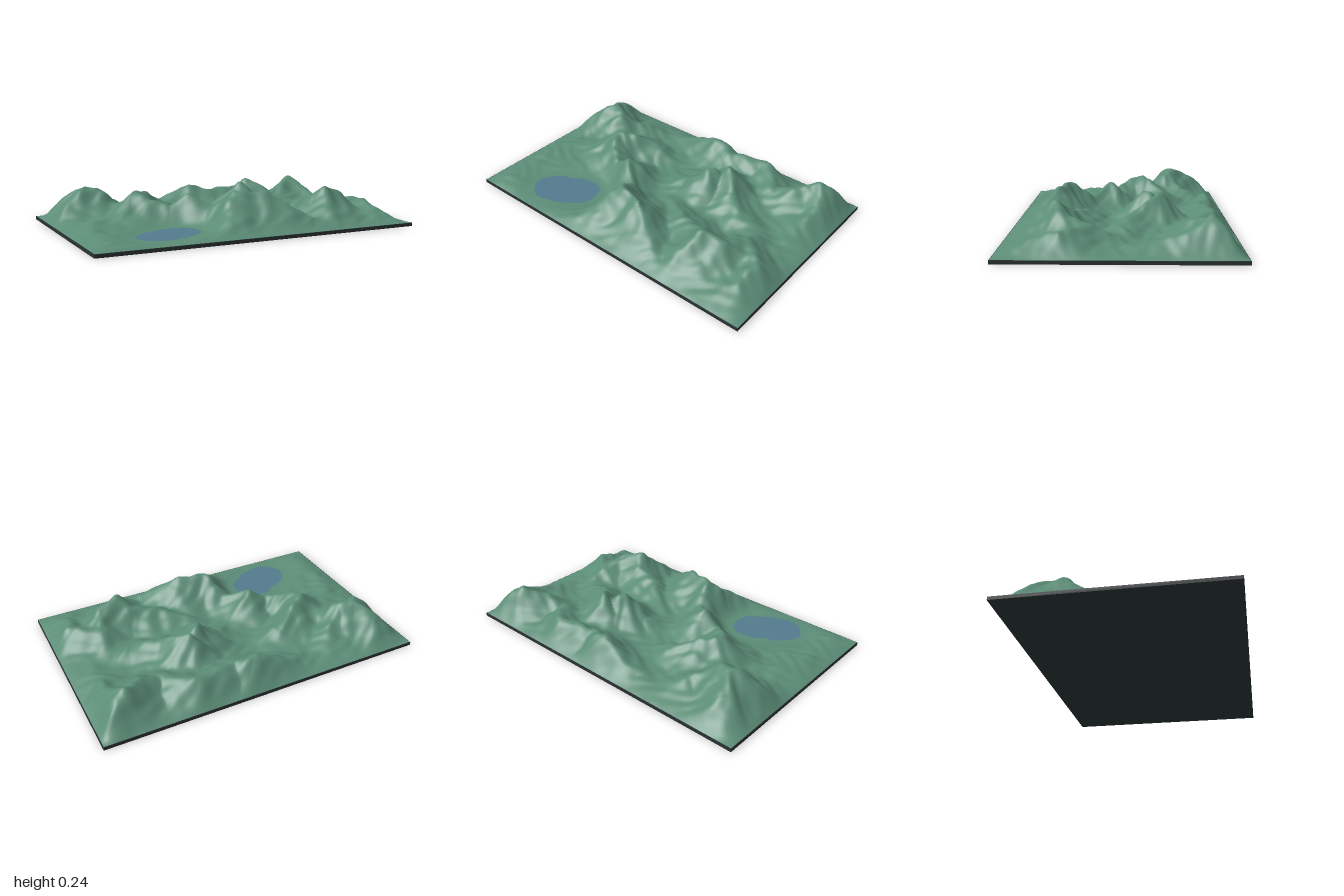
import * as THREE from 'three';

const HALF_X = 1, HALF_Z = 0.645, INSET = 0.003, BASE = 0.02, LAKE_Y = 0.036;
const { lerp, clamp, smoothstep } = THREE.MathUtils;

// Ridge lines as [x, z, crest height]
const RIDGES = [
  // north-west massif and its spur
  [[-0.82, -0.48, 0.165], [-0.77, -0.34, 0.23], [-0.67, -0.3, 0.21], [-0.55, -0.41, 0.12]],
  [[-0.77, -0.34, 0.2], [-0.89, -0.27, 0.16]],
  // long ridge running to the front peak, and its spur
  [[-0.28, -0.25, 0.12], [-0.43, -0.19, 0.195], [-0.52, -0.11, 0.22], [-0.38, 0.07, 0.14], [-0.24, 0.08, 0.205],
    [-0.14, 0.2, 0.145], [-0.06, 0.35, 0.235], [0.1, 0.37, 0.23], [0.36, 0.55, 0.08]],
  [[-0.07, 0.35, 0.2], [-0.22, 0.57, 0.07]],
  // central peaks
  [[0.06, -0.09, 0.11], [0.22, -0.14, 0.235], [0.27, -0.18, 0.19], [0.32, -0.21, 0.245], [0.42, -0.1, 0.165], [0.6, 0, 0.1]],
  // south-east ridge and its spurs
  [[0.18, 0.14, 0.11], [0.46, 0.3, 0.17], [0.55, 0.36, 0.235], [0.67, 0.31, 0.195], [0.73, 0.1, 0.1]],
  [[0.55, 0.36, 0.2], [0.47, 0.57, 0.08]],
  [[0.73, 0.2, 0.14], [0.89, 0.3, 0.145], [0.85, 0.46, 0.1]],
  // back ridge and its spur
  [[-0.28, -0.53, 0.07], [0.03, -0.52, 0.19], [0.15, -0.46, 0.15], [0.38, -0.52, 0.165], [0.58, -0.33, 0.12],
    [0.82, -0.46, 0.21], [0.91, -0.55, 0.16]],
  [[0.82, -0.46, 0.18], [0.87, -0.34, 0.135], [0.85, -0.1, 0.07]],
  // low western hummock
  [[-0.92, 0.24, 0.065], [-0.74, -0.06, 0.075]],
];

// Distance from a point to a segment, and the position along it
function toSegment(x, z, a, b) {
  const dx = b[0] - a[0], dz = b[1] - a[1];
  const t = clamp(((x - a[0]) * dx + (z - a[1]) * dz) / (dx * dx + dz * dz), 0, 1);
  return { t, d: Math.hypot(x - a[0] - t * dx, z - a[1] - t * dz) };
}

// Rise from 0 at a border to 1 inside
const borderRise = (edge) => 1 - Math.pow(1 - clamp(edge / 0.14, 0, 1), 2);

function terrainHeight(px, pz) {
  // slight meander of the flanks
  const x = px + 0.01 * Math.sin(pz * 23 + px * 7) + 0.006 * Math.sin(pz * 47 - px * 19);
  const z = pz + 0.01 * Math.sin(px * 21 - pz * 9) + 0.006 * Math.sin(px * 43 + pz * 17);

  // soft maximum of the valley floor and every ridge
  let sum = Math.pow(0.05, 8);
  for (const ridge of RIDGES) {
    let best = 0;
    for (let i = 0; i + 1 < ridge.length; i++) {
      const { t, d } = toSegment(x, z, ridge[i], ridge[i + 1]);
      const r = Math.sqrt(d * d + 0.0003) - 0.0173;
      best = Math.max(best, lerp(ridge[i][2], ridge[i + 1][2], t) * Math.exp(-Math.pow(r / 0.16, 1.15)));
    }
    sum += Math.pow(best, 8);
  }
  let h = Math.pow(sum, 1 / 8);
  // small knolls and gullies, stronger on high ground
  h += (0.003 + 0.025 * h) * Math.sin(px * 37 + 2 * Math.sin(pz * 23)) * Math.sin(pz * 41 + Math.sin(px * 19));

  // basin under the lake
  const { d } = toSegment(px, pz, [-0.58, 0.455], [-0.43, 0.335]);
  h = lerp(0.03, h, smoothstep(d, 0.13, 0.3));

  // fall away to the slab at the borders
  const k = borderRise(HALF_X - INSET - Math.abs(px)) * borderRise(HALF_Z - INSET - Math.abs(pz));
  return BASE + (h - BASE) * k;
}

// Two-lobed shoreline around the lake's centre
function lakeShape() {
  const points = [];
  for (let i = 0; i < 56; i++) {
    const a = (i / 56) * Math.PI * 2;
    const r = 0.17 + 0.04 * Math.cos(2 * (a + 0.48)) - 0.018 * Math.cos(a + 2.04) + 0.004 * Math.sin(a * 7);
    points.push(new THREE.Vector2(-0.51 + r * Math.cos(a), -0.385 - r * Math.sin(a)));
  }
  return new THREE.Shape(points);
}

export function createModel() {
  const model = new THREE.Group();
  model.name = 'mountainRelief';

  const paint = (name, color) => {
    const material = new THREE.MeshStandardMaterial({ color });
    material.name = name;
    return material;
  };
  const add = (name, geometry, material, y = 0) => {
    const mesh = new THREE.Mesh(geometry, material);
    mesh.name = name;
    mesh.position.y = y;
    model.add(mesh);
  };

  // Base slab
  add('baseSlab', new THREE.BoxGeometry(2 * HALF_X, BASE, 2 * HALF_Z), paint('slab charcoal', 0x2a3233), BASE / 2);

  // Mountains, set just inside the slab's rim
  const land = new THREE.PlaneGeometry(2 * (HALF_X - INSET), 2 * (HALF_Z - INSET), 200, 130).rotateX(-Math.PI / 2);
  const pos = land.attributes.position;
  for (let i = 0; i < pos.count; i++) pos.setY(i, terrainHeight(pos.getX(i), pos.getZ(i)) + 0.001);
  land.computeVertexNormals();
  add('terrain', land, paint('terrain green', 0x5b8c76));

  // Lake surface
  add('lake', new THREE.ShapeGeometry(lakeShape()).rotateX(-Math.PI / 2), paint('lake blue', 0x527b8e), LAKE_Y);

  return model;
}
